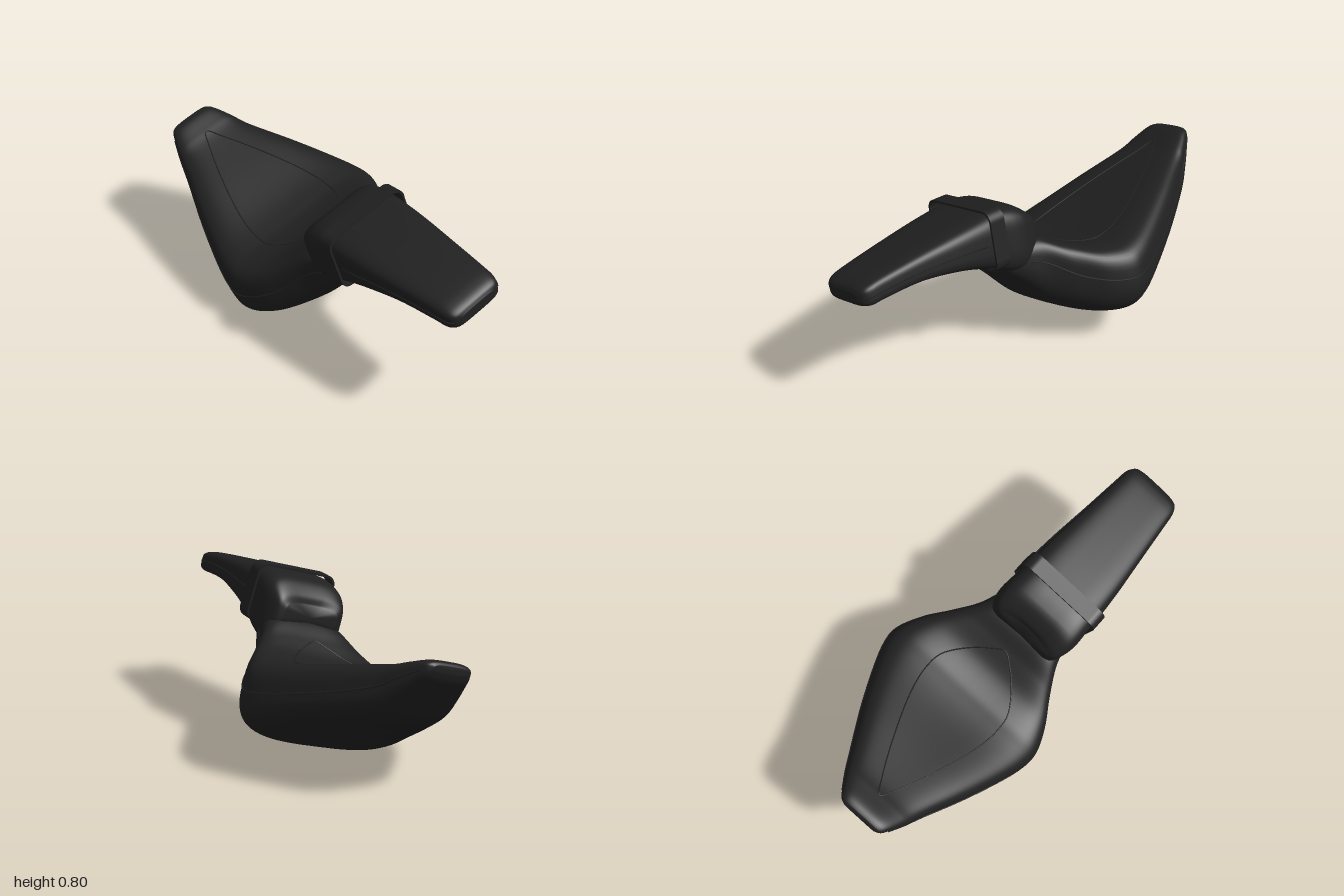
import * as THREE from 'three';

const SEGMENTS = 72;

// Lofted cushion; stations are [x, halfWidth, top, widestHeight, bottom, dish]
function makeCushion(stations, power, frontNotch = 0) {
  const upper = new THREE.CatmullRomCurve3(stations.map(s => new THREE.Vector3(s[0], s[1], s[2])), false, 'catmullrom');
  const lower = new THREE.CatmullRomCurve3(stations.map(s => new THREE.Vector3(s[3], s[4], s[5])), false, 'catmullrom');

  // point on the skin at loft position t and section angle a
  function pointAt(t, a) {
    const { x, y: width, z: top } = upper.getPoint(t);
    const { x: mid, y: bottom, z: dish } = lower.getPoint(t);
    const bend = v => Math.sign(v) * Math.abs(v) ** (2 / power);
    const c = bend(Math.cos(a)), s = bend(Math.sin(a));
    let y = mid + s * (s > 0 ? top - mid : mid - bottom);
    if (s > 0) y -= dish * (1 - c * c) * s;
    const notch = frontNotch * (1 - c * c) * Math.max(0, 1 - t * 4);
    return new THREE.Vector3(x + notch, y, width * c);
  }

  // loft position for a given x
  function findT(x) {
    let lo = 0, hi = 1;
    for (let i = 0; i < 30; i++) {
      const m = (lo + hi) / 2;
      if (upper.getPoint(m).x < x) lo = m; else hi = m;
    }
    return lo;
  }

  function geometry(steps) {
    const pos = [], index = [];
    for (let i = 0; i <= steps; i++)
      for (let j = 0; j < SEGMENTS; j++)
        pos.push(...pointAt(i / steps, (j / SEGMENTS) * Math.PI * 2).toArray());
    for (let i = 0; i < steps; i++)
      for (let j = 0; j < SEGMENTS; j++) {
        const k = (j + 1) % SEGMENTS;
        const a = i * SEGMENTS + j, b = i * SEGMENTS + k;
        const c = a + SEGMENTS, d = b + SEGMENTS;
        index.push(a, c, b, b, c, d);
      }
    // end caps
    const first = pos.length / 3, lastRing = steps * SEGMENTS;
    for (const t of [0, 1]) {
      const p = pointAt(t, 0).add(pointAt(t, Math.PI)).multiplyScalar(0.5);
      pos.push(p.x, p.y, p.z);
    }
    for (let j = 0; j < SEGMENTS; j++) {
      const k = (j + 1) % SEGMENTS;
      index.push(first, j, k, first + 1, lastRing + k, lastRing + j);
    }
    const g = new THREE.BufferGeometry();
    g.setAttribute('position', new THREE.Float32BufferAttribute(pos, 3));
    g.setIndex(index);
    g.computeVertexNormals();
    return g;
  }
  return { pointAt, findT, geometry };
}

export function createModel() {
  const model = new THREE.Group();
  model.name = 'motorcycleSeat';
  const vinyl = new THREE.MeshStandardMaterial({ color: 0x202020 });
  vinyl.name = 'black vinyl';

  // the whole seat leans sideways
  const seat = new THREE.Group();
  seat.name = 'leaningSeat';
  const lean = 0.285, offset = -0.068;
  seat.rotation.x = lean;
  seat.position.set(0, -offset * Math.sin(lean), offset * Math.cos(lean));
  model.add(seat);

  const add = (name, geometry) => {
    const mesh = new THREE.Mesh(geometry, vinyl);
    mesh.name = name;
    seat.add(mesh);
    return mesh;
  };
  const addCord = (name, points, radius, closed = false) =>
    add(name, new THREE.TubeGeometry(new THREE.CatmullRomCurve3(points, closed), 120, radius, 6, closed));

  // rider seat
  const riderPower = 3.2;
  const rider = makeCushion([
    [-1.0, 0.085, 0.612, 0.598, 0.582, 0],
    [-0.985, 0.112, 0.624, 0.588, 0.545, 0],
    [-0.95, 0.135, 0.625, 0.565, 0.5, 0.002],
    [-0.88, 0.173, 0.602, 0.51, 0.415, 0.008],
    [-0.8, 0.21, 0.575, 0.45, 0.333, 0.015],
    [-0.6, 0.307, 0.53, 0.36, 0.237, 0.035],
    [-0.4, 0.39, 0.48, 0.29, 0.138, 0.048],
    [-0.28, 0.426, 0.455, 0.257, 0.07, 0.05],
    [-0.2, 0.425, 0.448, 0.25, 0.046, 0.05],
    [-0.1, 0.378, 0.465, 0.275, 0.075, 0.045],
    [0.0, 0.3, 0.51, 0.33, 0.134, 0.03],
    [0.1, 0.225, 0.56, 0.42, 0.215, 0.01],
    [0.2, 0.185, 0.56, 0.47, 0.339, 0],
    [0.3, 0.14, 0.54, 0.51, 0.45, 0],
  ], riderPower);
  add('riderSeat', rider.geometry(110));

  // passenger pad
  const pad = makeCushion([
    [0.075, 0.14, 0.625, 0.57, 0.515, 0],
    [0.095, 0.178, 0.665, 0.57, 0.475, 0],
    [0.145, 0.2, 0.71, 0.575, 0.435, 0],
    [0.2, 0.206, 0.735, 0.58, 0.415, 0],
    [0.27, 0.201, 0.75, 0.6, 0.435, 0],
    [0.35, 0.199, 0.748, 0.62, 0.485, 0],
    [0.5, 0.188, 0.742, 0.64, 0.545, 0],
    [0.7, 0.166, 0.73, 0.655, 0.592, 0],
    [0.88, 0.148, 0.716, 0.655, 0.6, 0],
    [0.95, 0.14, 0.706, 0.652, 0.598, 0],
    [0.985, 0.122, 0.692, 0.65, 0.608, 0],
    [1.0, 0.09, 0.672, 0.648, 0.625, 0],
  ], 4.2, 0.03);
  add('passengerPad', pad.geometry(100));

  // seams along the widest line of both cushions
  const seam = (cushion, from, to, angle) => Array.from({ length: 30 }, (_, i) =>
    cushion.pointAt(cushion.findT(from + (to - from) * i / 29), angle));
  for (const [side, angle] of [['left', 0], ['right', Math.PI]]) {
    addCord(side + 'RiderSeam', seam(rider, -0.96, 0.2, angle), 0.004);
    addCord(side + 'PadSeam', seam(pad, 0.38, 0.985, angle), 0.004);
  }

  // stitched outline of the seating panel: [x, fraction of half width]
  const outline = [[-0.8, 0.2], [-0.6, 0.42], [-0.4, 0.5], [-0.28, 0.5], [-0.19, 0.48], [-0.08, 0.33], [-0.03, 0.17]];
  const onTop = (x, f) => {
    const a = Math.acos(Math.abs(f) ** (riderPower / 2));
    return rider.pointAt(rider.findT(x), f < 0 ? Math.PI - a : a);
  };
  addCord('panelStitch', [
    onTop(-0.87, 0),
    ...outline.map(([x, f]) => onTop(x, f)),
    onTop(0, 0),
    ...outline.slice().reverse().map(([x, f]) => onTop(x, -f)),
  ], 0.003, true);

  // strap: thin rounded band round the pad
  const roundedRect = (path, w, h, r) => path
    .moveTo(-w + r, -h).lineTo(w - r, -h).absarc(w - r, -h + r, r, -Math.PI / 2, 0)
    .lineTo(w, h - r).absarc(w - r, h - r, r, 0, Math.PI / 2)
    .lineTo(-w + r, h).absarc(-w + r, h - r, r, Math.PI / 2, Math.PI)
    .lineTo(-w, -h + r).absarc(-w + r, -h + r, r, Math.PI, Math.PI * 1.5);
  const band = new THREE.Shape(), hole = new THREE.Path();
  roundedRect(band, 0.212, 0.138, 0.05);
  roundedRect(hole, 0.202, 0.128, 0.042);
  band.holes.push(hole);
  const strapGeometry = new THREE.ExtrudeGeometry(band, { depth: 0.076, bevelEnabled: false, curveSegments: 10 });
  strapGeometry.translate(0, 0, -0.038);
  strapGeometry.rotateY(Math.PI / 2);
  const strap = add('strap', strapGeometry);
  strap.position.set(0.318, 0.626, 0);
  strap.rotation.z = 0.08;

  return model;
}
